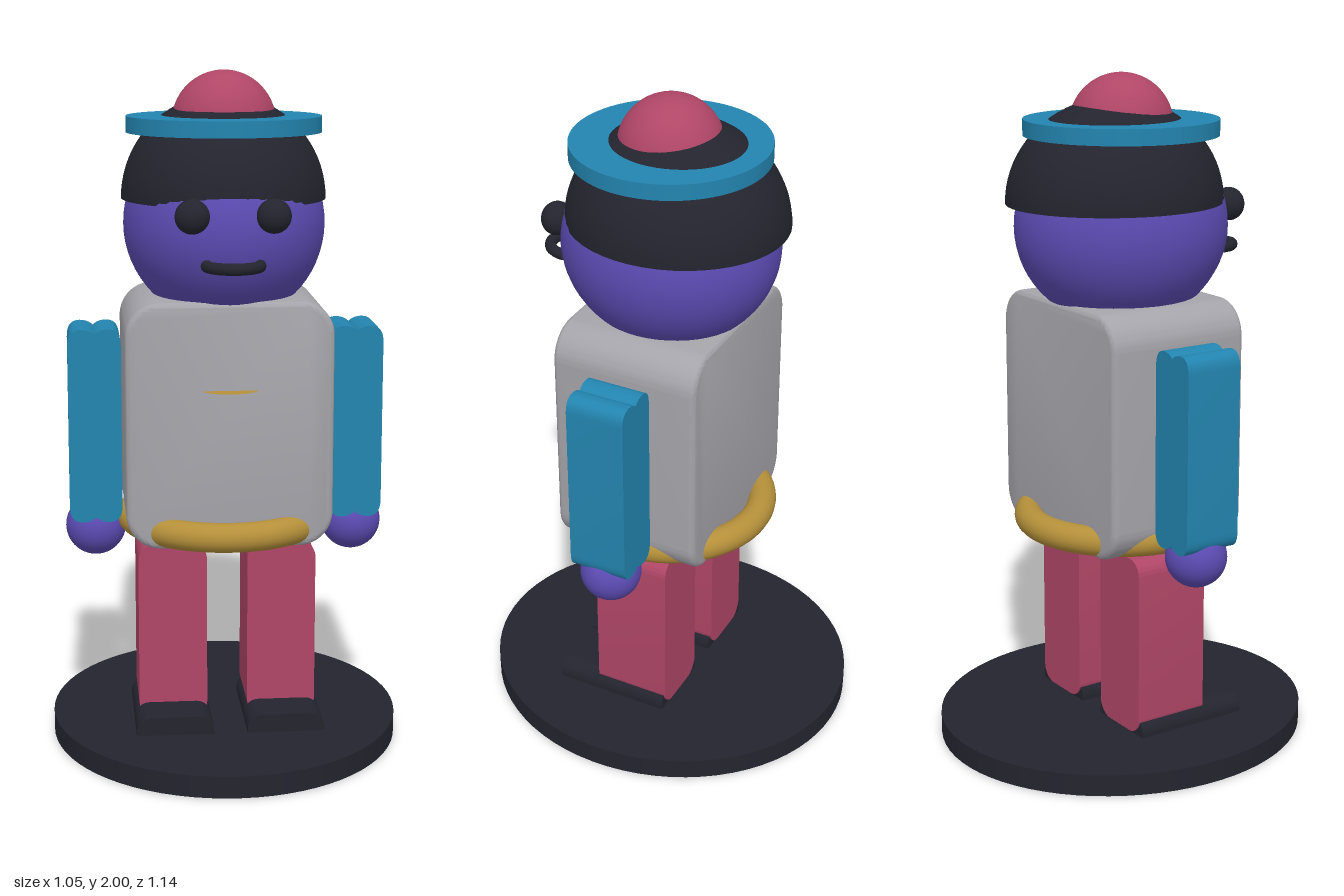
import * as THREE from 'three';
import { toCreasedNormals } from 'three/addons/utils/BufferGeometryUtils.js';

function makeMaterial(name, color, side = THREE.FrontSide) {
  const m = new THREE.MeshStandardMaterial({ color, side });
  m.name = name;
  return m;
}

// Rounded rectangle centred on the origin
function roundedRect(w, h, r) {
  const x = w / 2, y = h / 2, s = new THREE.Shape();
  s.moveTo(-x + r, -y);
  s.lineTo(x - r, -y);
  s.absarc(x - r, -y + r, r, -Math.PI / 2, 0);
  s.lineTo(x, y - r);
  s.absarc(x - r, y - r, r, 0, Math.PI / 2);
  s.lineTo(-x + r, y);
  s.absarc(-x + r, y - r, r, Math.PI / 2, Math.PI);
  s.lineTo(-x, -y + r);
  s.absarc(-x + r, -y + r, r, Math.PI, Math.PI * 1.5);
  return s;
}

// Sleeve outline with two lobes at each end
function lobedRect(w, h) {
  const x = w / 2, y = h / 2, s = new THREE.Shape();
  s.moveTo(-x, -y + 0.05);
  s.lineTo(-x, y - 0.05);
  s.quadraticCurveTo(-x, y, -0.04, y);
  s.quadraticCurveTo(-0.015, y, 0, y - 0.015);
  s.quadraticCurveTo(0.015, y, 0.04, y);
  s.quadraticCurveTo(x, y, x, y - 0.05);
  s.lineTo(x, -y + 0.05);
  s.quadraticCurveTo(x, -y, 0.04, -y);
  s.quadraticCurveTo(0.015, -y, 0, -y + 0.015);
  s.quadraticCurveTo(-0.015, -y, -0.04, -y);
  s.quadraticCurveTo(-x, -y, -x, -y + 0.05);
  return s;
}

// Extrusion along z, centred, with an optional soft edge
function extrude(shape, depth, bevel = 0) {
  const g = new THREE.ExtrudeGeometry(shape, {
    depth: depth - 2 * bevel, curveSegments: 10, bevelEnabled: bevel > 0,
    bevelSize: bevel, bevelThickness: bevel, bevelOffset: -bevel, bevelSegments: 4,
  });
  g.translate(0, 0, -depth / 2 + bevel);
  return toCreasedNormals(g, 0.6);
}

export function createModel() {
  const model = new THREE.Group();
  model.name = 'figurine';

  const dark = makeMaterial('dark', 0x24242f, THREE.DoubleSide);
  const purple = makeMaterial('purple', 0x5c4bb3);
  const grey = makeMaterial('grey', 0xa5a4aa);
  const blue = makeMaterial('blue', 0x2385b0);
  const red = makeMaterial('red', 0xb04667);
  const gold = makeMaterial('gold', 0xb5903a, THREE.DoubleSide);

  const add = (name, geometry, material, x, y, z) => {
    const mesh = new THREE.Mesh(geometry, material);
    mesh.name = name;
    mesh.position.set(x, y, z);
    model.add(mesh);
    return mesh;
  };
  const ball = (rx, ry, rz) => new THREE.SphereGeometry(1, 48, 32).scale(rx, ry, rz);

  // Oval stand
  const stand = new THREE.CylinderGeometry(1, 1, 0.065, 72).scale(0.523, 1, 0.57);
  add('stand', stand, dark, 0, 0.0325, 0);

  // Limbs, mirrored
  const foot = extrude(roundedRect(0.23, 0.1, 0.045), 0.36);
  const leg = extrude(roundedRect(0.205, 0.545, 0.05), 0.235);
  const arm = extrude(lobedRect(0.156, 0.58), 0.178);
  for (const [side, s] of [['left', 1], ['right', -1]]) {
    add(side + 'Foot', foot, dark, s * 0.165, 0.07, 0.07);
    add(side + 'Leg', leg, red, s * 0.163, 0.3425, 0.002);
    add(side + 'Arm', arm, blue, s * 0.387, 0.97, 0);
    add(side + 'Hand', ball(0.09, 0.09, 0.09), purple, s * 0.387, 0.65, 0);
    add(side + 'Eye', ball(0.049, 0.049, 0.045), dark, s * 0.114, 1.61, 0.305);
  }

  // Torso, belt and the thin plate on the chest
  add('torso', extrude(roundedRect(0.604, 0.725, 0.1), 0.452, 0.018), grey, 0, 0.9925, 0);
  const belt = new THREE.TorusGeometry(0.281, 0.043, 20, 72).rotateX(Math.PI / 2);
  add('belt', belt, gold, 0, 0.678, 0);
  const plate = new THREE.CircleGeometry(1, 32).rotateX(-Math.PI / 2).scale(0.08, 1, 0.055);
  add('chestPlate', plate, gold, 0, 1.1, 0.222);

  // Head and mouth
  add('head', ball(0.295, 0.295, 0.32), purple, 0, 1.56, 0);
  const mouth = new THREE.TorusGeometry(0.075, 0.017, 12, 32, Math.PI).rotateX(Math.PI / 2);
  add('mouth', mouth, dark, 0, 1.473, 0.312);

  // Domed hair set slightly back
  const hair = new THREE.SphereGeometry(1, 48, 20, 0, Math.PI * 2, 0, Math.PI / 2);
  add('hair', hair.scale(0.3, 0.3, 0.325), dark, 0, 1.63, -0.022);

  // Hat brim and crown
  add('hatBrim', new THREE.CylinderGeometry(0.285, 0.285, 0.047, 72), blue, 0, 1.846, 0);
  add('hatCrown', ball(0.152, 0.152, 0.152), red, 0, 1.848, 0);

  return model;
}
